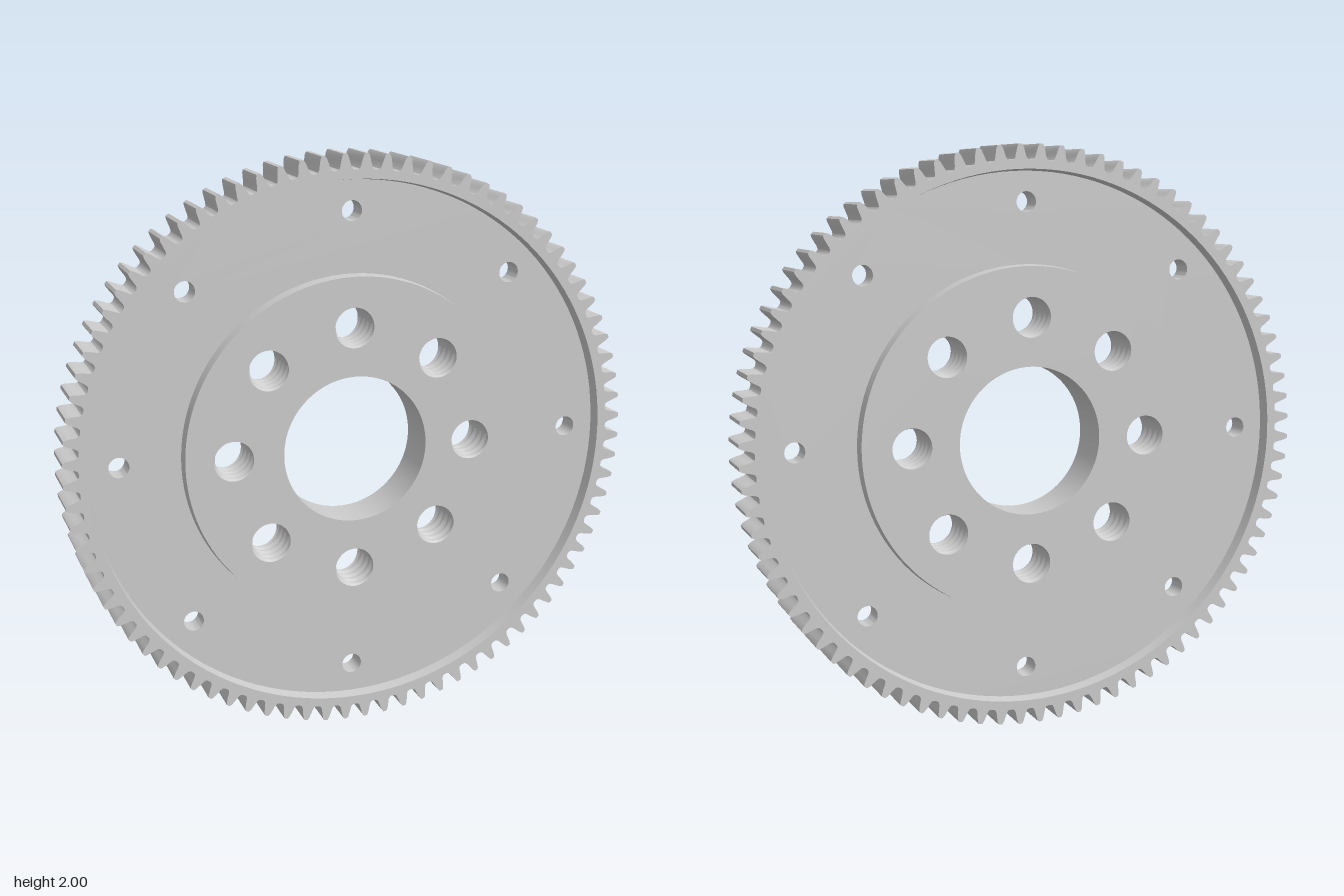
import * as THREE from 'three';
import { toCreasedNormals } from 'three/addons/utils/BufferGeometryUtils.js';

const TEETH = 84, HALF = 0.085, WEB = 0.042;
const RIM_R = 0.917, HUB_R = 0.595, BORE_R = 0.255;
const TURNS = 4, THREAD_R = 0.069, THREAD_AMP = 0.005;

// Radius of the threaded hole at angle a; the thread winds TURNS times through the hub
const threadRadius = (a, v) =>
  THREAD_R + THREAD_AMP * Math.cos(a - Math.PI * 1.2 - v * TURNS * Math.PI * 2);

const polar = (r, a) => new THREE.Vector2(r * Math.cos(a), r * Math.sin(a));

// Eight centres evenly spread on a bolt circle
const boltCircle = (r) => Array.from({ length: 8 }, (_, i) => polar(r, i * Math.PI / 4));

// Closed circular path; radius may be a function of the angle
function ring(radius, n, centre = new THREE.Vector2()) {
  const pts = [];
  for (let i = 0; i < n; i++) {
    const a = i / n * Math.PI * 2;
    pts.push(polar(typeof radius === 'function' ? radius(a) : radius, a).add(centre));
  }
  return pts;
}

function shapeWithHoles(outline, holes) {
  const shape = new THREE.Shape(outline);
  shape.holes = holes.map((h) => new THREE.Path(h));
  return shape;
}

function plate(shape, half) {
  const g = new THREE.ExtrudeGeometry(shape, { depth: half * 2, bevelEnabled: false });
  g.translate(0, 0, -half);
  return toCreasedNormals(g, 0.5);
}

// Wall of revolution about the z axis
function wall(points) {
  const g = new THREE.LatheGeometry(points.map(([r, z]) => new THREE.Vector2(r, z)), 128);
  return g.rotateX(Math.PI / 2);
}

// Outline of the rounded teeth, with a gap at the very top
function toothOutline() {
  const half = [[-0.42, 0.947], [-0.33, 0.95], [-0.27, 0.958], [-0.21, 0.975], [-0.15, 0.991], [-0.08, 1]];
  const profile = [...half, ...half.map(([t, r]) => [-t, r]).reverse()];
  const pts = [];
  for (let i = 0; i < TEETH; i++) {
    for (const [t, r] of profile) pts.push(polar(r, (i + 0.5 + t) / TEETH * Math.PI * 2));
  }
  return pts;
}

// Inner surface of one threaded hole, made by rolling a plane into a tube
function threadGeometry() {
  const g = new THREE.PlaneGeometry(1, 1, 48, 48);
  const p = g.attributes.position;
  for (let i = 0; i < p.count; i++) {
    const a = (p.getX(i) + 0.5) * Math.PI * 2, v = p.getY(i) + 0.5;
    const q = polar(threadRadius(a, v), a);
    p.setXYZ(i, q.x, q.y, (v * 2 - 1) * HALF);
  }
  g.computeVertexNormals();
  return g;
}

export function createModel() {
  const model = new THREE.Group();
  model.name = 'spurGear';
  const gear = new THREE.Group();
  gear.name = 'gearBody';
  gear.position.y = 1;
  model.add(gear);

  const solid = new THREE.MeshStandardMaterial({ color: 0xcccccc });
  const open = new THREE.MeshStandardMaterial({ color: 0xcccccc, side: THREE.DoubleSide });
  const add = (name, geometry, material, x = 0, y = 0, z = 0) => {
    const mesh = new THREE.Mesh(geometry, material);
    mesh.name = name;
    mesh.position.set(x, y, z);
    gear.add(mesh);
  };

  // Toothed rim
  add('toothedRim', plate(shapeWithHoles(toothOutline(), [ring(RIM_R, 128)]), HALF), solid);

  // Recessed web with eight small holes
  const smallHoles = boltCircle(0.808).map((c) => ring(0.035, 32, c));
  add('web', plate(shapeWithHoles(ring(0.925, 128), [ring(0.585, 128), ...smallHoles]), WEB), solid);

  // Hub faces, pierced by the bore and the threaded holes
  const centres = boltCircle(0.425);
  const threadEdges = centres.map((c) => ring((a) => threadRadius(a, 0), 48, c));
  const face = new THREE.ShapeGeometry(
    shapeWithHoles(ring(HUB_R, 128), [ring(BORE_R, 128), ...threadEdges]));
  add('hubFaceFront', face, open, 0, 0, HALF);
  add('hubFaceBack', face, open, 0, 0, -HALF);
  add('boreWall', wall([[BORE_R, -HALF], [BORE_R, HALF]]), open);

  // Slightly drafted step walls on both sides
  for (const [side, s] of [['Front', 1], ['Back', -1]]) {
    add('hubStep' + side, wall([[HUB_R, s * HALF], [HUB_R + 0.004, s * WEB]]), open);
    add('rimStep' + side, wall([[RIM_R, s * HALF], [RIM_R - 0.006, s * WEB]]), open);
  }

  // Threaded holes
  const thread = threadGeometry();
  centres.forEach((c, i) => add('threadedHole' + (i + 1), thread, open, c.x, c.y));

  return model;
}
